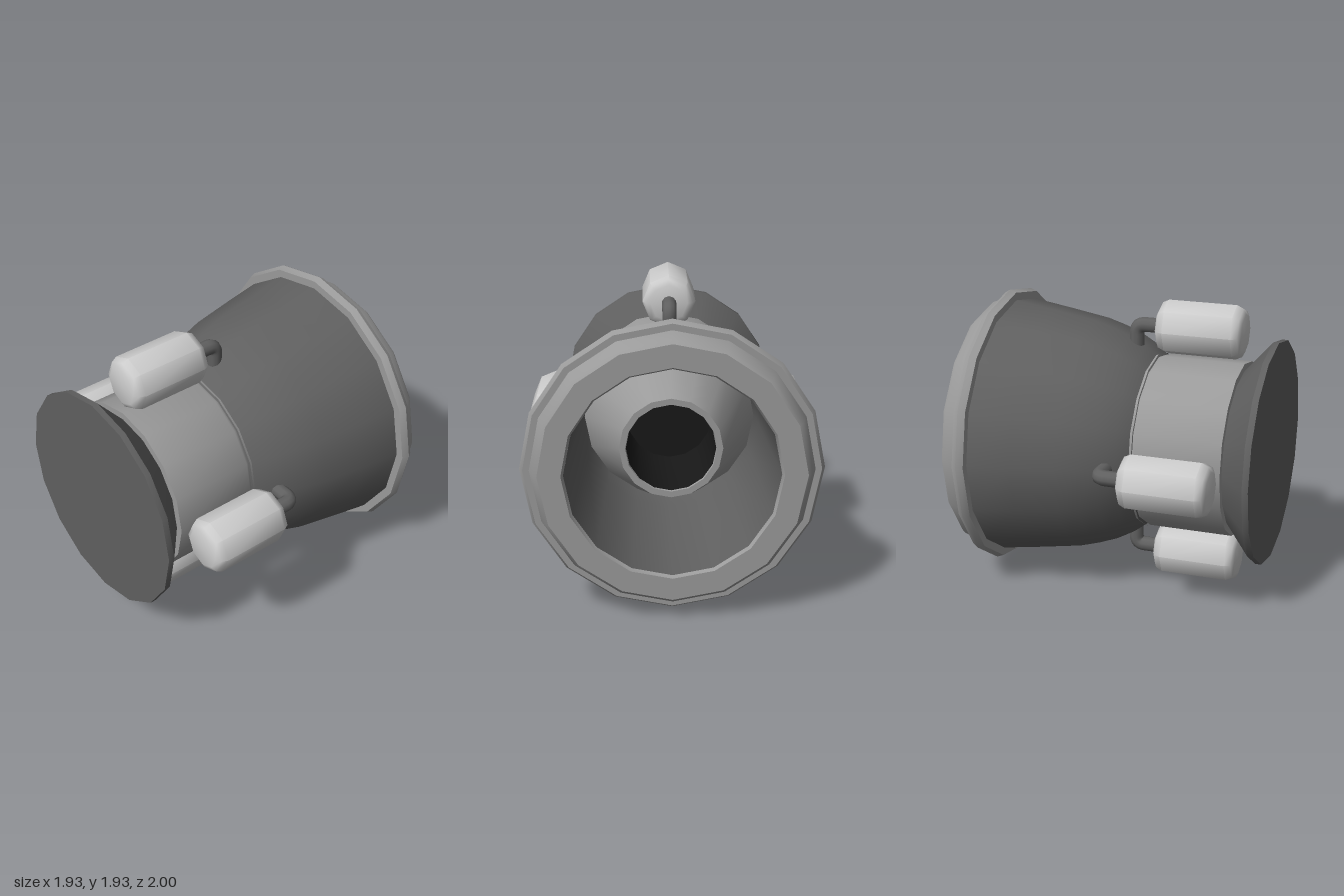
import * as THREE from 'three';
import { toCreasedNormals } from 'three/addons/utils/BufferGeometryUtils.js';

const AXIS_Y = 0.965;   // height of the central axis
const TANK_R = 0.785;   // distance of the side tanks from the axis

const dark = new THREE.MeshStandardMaterial({ color: 0x606060 });
const mid = new THREE.MeshStandardMaterial({ color: 0x9a9a9a });
const light = new THREE.MeshStandardMaterial({ color: 0xcccccc });
const black = new THREE.MeshStandardMaterial({ color: 0x181818 });

// Turned part along z; profile is [radius, z], z rising on outer walls
function turned(name, profile, material, sides = 16, crease = 0.6) {
  const points = profile.map(([r, z]) => new THREE.Vector2(r, z));
  const geometry = new THREE.LatheGeometry(points, sides).rotateX(Math.PI / 2);
  const mesh = new THREE.Mesh(toCreasedNormals(geometry, crease), material);
  mesh.name = name;
  return mesh;
}

// Side tank with its elbow pipe, placed above the axis
function tankUnit() {
  const unit = new THREE.Group();
  const tank = turned('tank', [
    [0, 0.21], [0.125, 0.21], [0.16, 0.228], [0.18, 0.27],
    [0.18, 0.72], [0.16, 0.762], [0.125, 0.78], [0, 0.78],
  ], light, 8, 0.85);
  tank.position.y = TANK_R;

  const v = (y, z) => new THREE.Vector3(0, y, z);
  const path = new THREE.CurvePath();
  path.add(new THREE.LineCurve3(v(TANK_R, 0.24), v(TANK_R, 0.11)));
  path.add(new THREE.QuadraticBezierCurve3(v(TANK_R, 0.11), v(TANK_R, 0.05), v(TANK_R - 0.06, 0.05)));
  path.add(new THREE.LineCurve3(v(TANK_R - 0.06, 0.05), v(TANK_R - 0.15, 0.05)));
  const pipe = new THREE.Mesh(new THREE.TubeGeometry(path, 20, 0.05, 10), dark);
  pipe.name = 'elbowPipe';

  unit.add(tank, pipe);
  return unit;
}

export function createModel() {
  const model = new THREE.Group();
  model.name = 'thruster';
  const engine = new THREE.Group();
  engine.name = 'engine';
  engine.position.y = AXIS_Y;
  model.add(engine);

  // Flared mounting plate at the front
  engine.add(turned('mountingPlate', [
    [0, 0.77], [0.52, 0.77], [0.74, 0.96], [0.74, 1], [0, 1],
  ], dark));

  // Central drum
  engine.add(turned('drum', [
    [0, 0.2], [0.57, 0.2], [0.58, 0.22], [0.58, 0.78], [0, 0.78],
  ], mid));

  // Nozzle bell: outer shell and inner wall
  engine.add(turned('bellShell', [
    [0.875, -0.82], [0.83, -0.53], [0.783, -0.25], [0.745, -0.12],
    [0.7, 0], [0.64, 0.11], [0.595, 0.17], [0.56, 0.21], [0, 0.21],
  ], dark));
  engine.add(turned('bellLining', [
    [0.58, 0.195], [0.6, 0], [0.665, -0.98],
  ], dark));

  // Rear lip and the raised band around it
  engine.add(turned('rearLip', [
    [0.665, -0.97], [0.68, -1], [0.825, -1], [0.848, -0.975], [0.885, -0.87],
  ], mid));
  engine.add(turned('rimBand', [
    [0.87, -0.885], [0.92, -0.885], [0.942, -0.85], [0.925, -0.805], [0.86, -0.805],
  ], mid));

  // Tapered throat inside the bell, with its dark bore
  engine.add(turned('throat', [
    [0.29, -0.48], [0.295, -0.5], [0.335, -0.5], [0.59, 0.2],
  ], mid));
  engine.add(turned('bore', [
    [0, 0.15], [0.29, 0.15], [0.29, -0.49],
  ], black));

  // Four tanks around the drum
  ['upper', 'left', 'lower', 'right'].forEach((side, i) => {
    const unit = tankUnit();
    unit.name = `${side}Tank`;
    unit.rotation.z = -i * Math.PI / 2;
    engine.add(unit);
  });

  return model;
}
